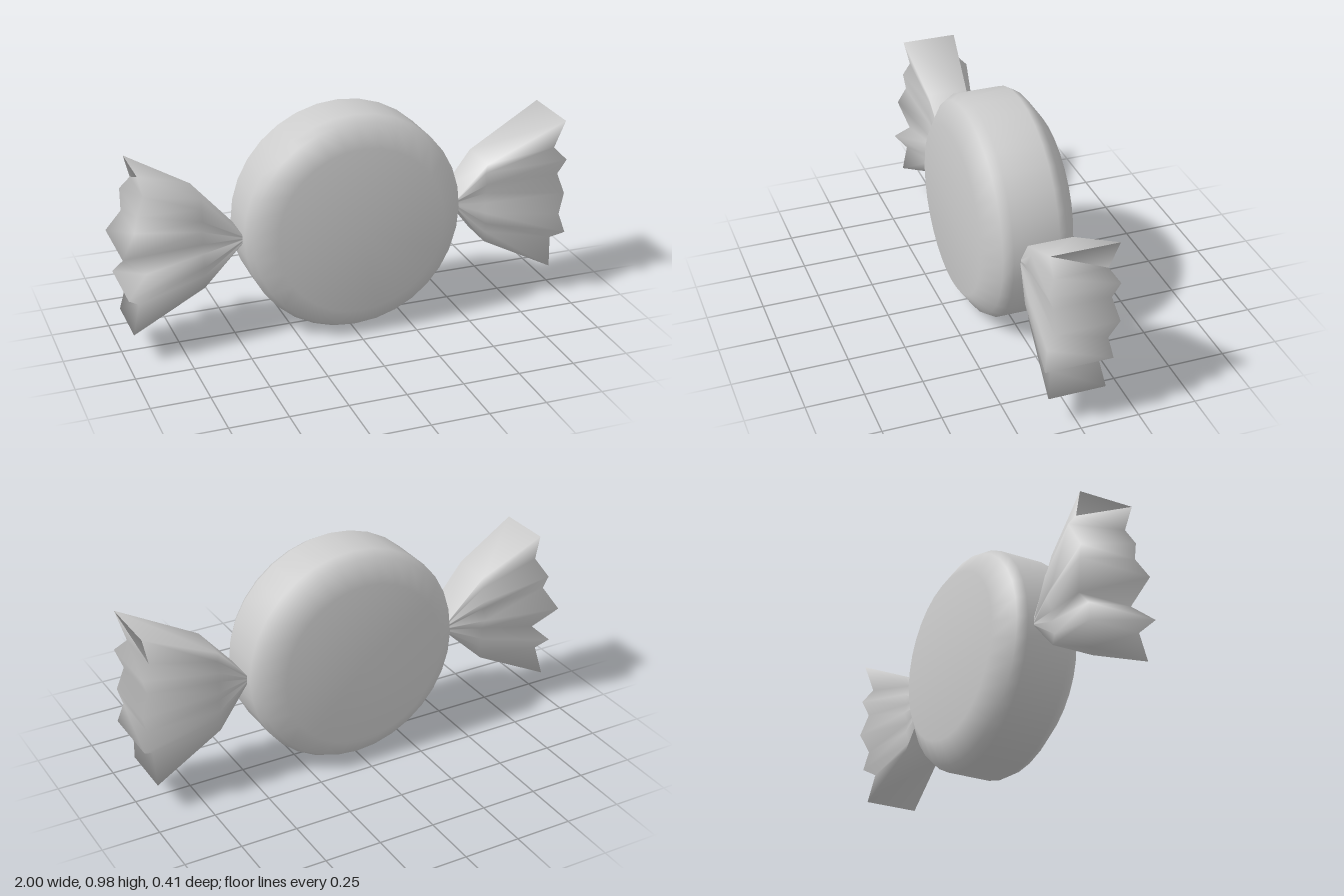
import * as THREE from 'three';

const material = new THREE.MeshStandardMaterial({ color: 0xcccccc });

// Closed, pleated wrapper tail. Each end row is [x, y, zFront, zBack], top to bottom.
function makeTail(name, side, pinch, mid, rows) {
  const n = rows.length;
  const spread = (s, i) => s.top + (s.bottom - s.top) * (i / (n - 1));
  const sections = [pinch, mid].map((s) => rows.map(([, , f, b], i) => {
    // pleats fade out toward the pinch
    const zf = s.z + s.pleat * (f - 0.13), zb = -s.z + s.pleat * (b + 0.13);
    return [s.x, spread(s, i), zf, zb];
  }));
  sections.push(rows);

  const positions = [], index = [];
  for (const section of sections) {
    for (const [x, y, f] of section) positions.push(x, y, f);
    for (const [x, y, , b] of [...section].reverse()) positions.push(x, y, b);
  }
  const ring = 2 * n;
  const quad = (a, b, c, d) => (side > 0
    ? index.push(a, b, c, a, c, d)
    : index.push(a, c, b, a, d, c));

  // Skin between neighbouring sections
  for (let s = 0; s < sections.length - 1; s++) {
    for (let i = 0; i < ring; i++) {
      const j = (i + 1) % ring, a = s * ring, b = a + ring;
      quad(a + i, a + j, b + j, b + i);
    }
  }
  // Folded end face, one strip per pleat
  const e = (sections.length - 1) * ring;
  for (let i = 0; i < n - 1; i++) {
    quad(e + i, e + i + 1, e + ring - 2 - i, e + ring - 1 - i);
  }

  const geometry = new THREE.BufferGeometry();
  geometry.setAttribute('position', new THREE.Float32BufferAttribute(positions, 3));
  geometry.setIndex(index);
  geometry.computeVertexNormals();
  const mesh = new THREE.Mesh(geometry, material);
  mesh.name = name;
  return mesh;
}

export function createModel() {
  const group = new THREE.Group();
  group.name = 'wrappedCandy';

  // Round body with bevelled rims
  const profile = [
    [0, -0.205], [0.372, -0.205], [0.465, -0.14], [0.488, -0.1],
    [0.488, 0.1], [0.465, 0.14], [0.372, 0.205], [0, 0.205],
  ].map(([r, h]) => new THREE.Vector2(r, h));
  const body = new THREE.Mesh(new THREE.LatheGeometry(profile, 32), material);
  body.name = 'candyBody';
  body.rotation.x = Math.PI / 2;
  body.position.set(0.012, 0.491, 0);
  group.add(body);

  // Twisted wrapper ends
  group.add(makeTail('leftWrapperTail', 1,
    { x: 0.5, top: 0.51, bottom: 0.47, z: 0.072, pleat: 0 },
    { x: 0.635, top: 0.665, bottom: 0.295, z: 0.09, pleat: 0.5 },
    [
      [0.98, 0.84, 0.14, -0.145],
      [0.945, 0.71, 0.11, -0.115],
      [0.99, 0.66, 0.147, -0.15],
      [0.965, 0.585, 0.115, -0.125],
      [1.0, 0.49, 0.122, -0.15],
      [0.97, 0.4, 0.14, -0.115],
      [0.995, 0.315, 0.157, -0.13],
      [0.945, 0.28, 0.115, -0.09],
      [0.945, 0.14, 0.12, -0.125],
    ]));
  group.add(makeTail('rightWrapperTail', -1,
    { x: -0.475, top: 0.495, bottom: 0.455, z: 0.072, pleat: 0 },
    { x: -0.65, top: 0.69, bottom: 0.29, z: 0.095, pleat: 0.5 },
    [
      [-0.92, 0.84, 0.12, -0.125],
      [-0.895, 0.74, 0.1, -0.13],
      [-0.93, 0.67, 0.125, -0.19],
      [-0.94, 0.59, 0.11, -0.14],
      [-1.0, 0.49, 0.135, -0.185],
      [-0.9, 0.4, 0.11, -0.13],
      [-0.99, 0.315, 0.16, -0.145],
      [-0.94, 0.27, 0.115, -0.11],
      [-0.97, 0.14, 0.13, -0.13],
    ]));
  return group;
}
